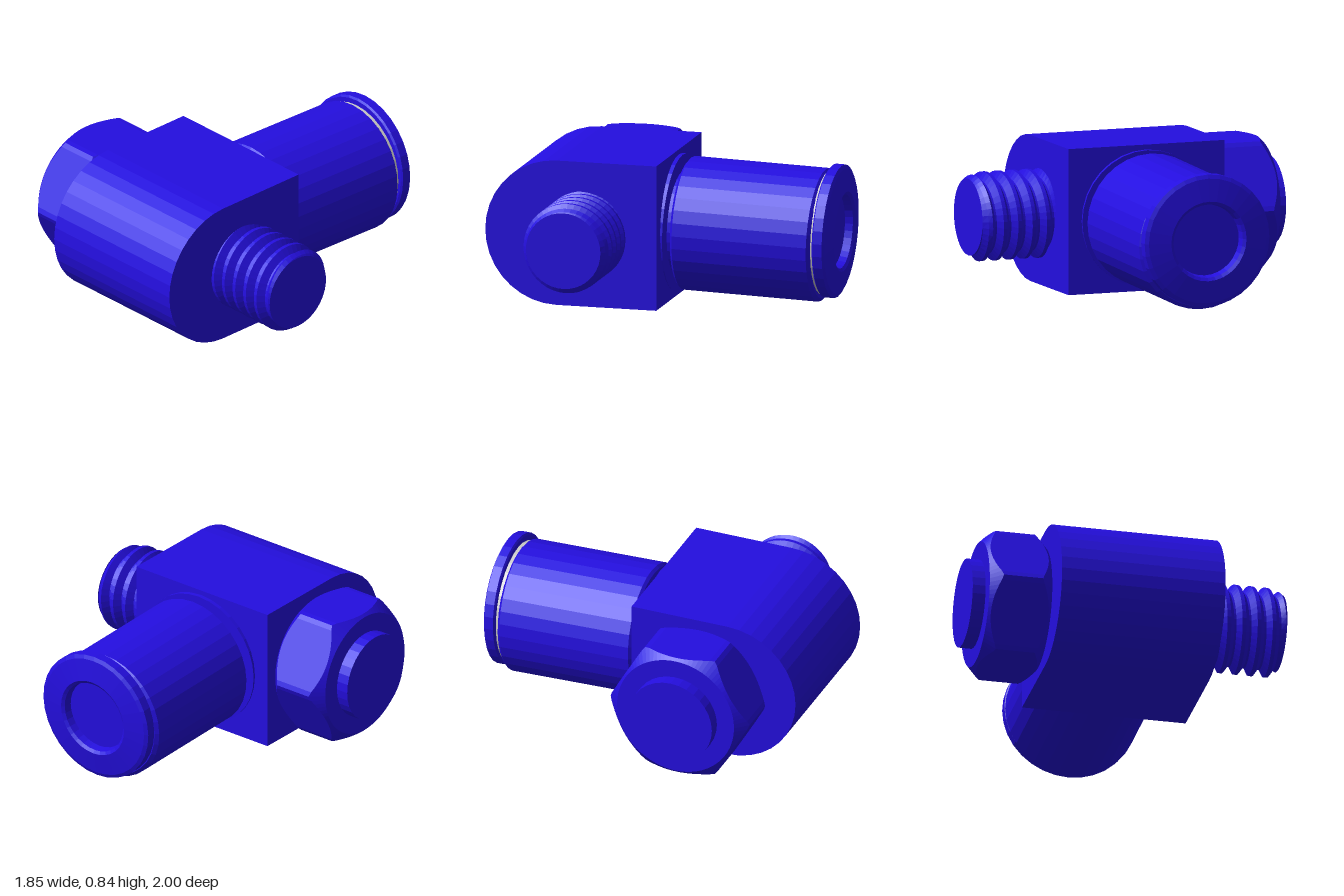
import * as THREE from 'three';

const blue = new THREE.MeshStandardMaterial({ color: 0x240ee0, flatShading: true });
const grey = new THREE.MeshStandardMaterial({ color: 0xcccccc, flatShading: true });

// Turned part around local y; profile is [radius, height] pairs
function turned(name, profile, segments = 32, material = blue) {
  const points = profile.map(([r, h]) => new THREE.Vector2(r, h));
  const mesh = new THREE.Mesh(new THREE.LatheGeometry(points, segments), material);
  mesh.name = name;
  return mesh;
}

// Move every vertex of a turned part by a rule: (radius, height, angle, ring) -> [radius, height]
function reshape(mesh, ringCount, rule) {
  const geometry = mesh.geometry, p = geometry.attributes.position;
  const segments = p.count / ringCount - 1;
  for (let i = 0; i < p.count; i++) {
    const angle = Math.floor(i / ringCount) / segments * Math.PI * 2;
    const [r, h] = rule(Math.hypot(p.getX(i), p.getZ(i)), p.getY(i), angle, i % ringCount);
    p.setXYZ(i, r * Math.sin(angle), h, r * Math.cos(angle));
  }
  geometry.computeVertexNormals();
  return mesh;
}

// Block with a rounded front, extruded along x
function bodyBlock() {
  const shape = new THREE.Shape();
  shape.moveTo(0.01, 0);
  shape.lineTo(0.01, 0.84);
  shape.lineTo(-0.58, 0.84);
  shape.absarc(-0.58, 0.42, 0.42, Math.PI / 2, Math.PI * 1.5, false);
  shape.closePath();
  const geometry = new THREE.ExtrudeGeometry(shape, { depth: 0.955, bevelEnabled: false, curveSegments: 9 });
  geometry.rotateY(Math.PI / 2);
  geometry.translate(-0.48, 0, 0);
  const mesh = new THREE.Mesh(geometry, blue);
  mesh.name = 'body';
  return mesh;
}

// Hexagon nut whose corners are cut back by a cone at both ends
function hexNut(start, end) {
  const face = 0.36;
  const profile = [[0, start], [face, start], [0.4, start + 0.05], [0.4, end - 0.05], [face, end], [0, end]];
  return reshape(turned('hexNut', profile, 96), profile.length, (r, h, angle, ring) => {
    if (ring !== 2 && ring !== 3) return [r, h];
    const sector = angle % (Math.PI / 3) - Math.PI / 6;
    const radius = Math.min(0.375 / Math.cos(sector), 0.428);
    const cut = radius - face;
    return [radius, ring === 2 ? start + cut : end - cut];
  });
}

// Single-start helical thread with a chamfered tip
function thread(start, end) {
  const pitch = 0.088, crest = 0.255, root = 0.214, profile = [];
  for (let i = 0; i < 7; i++) {
    const x = 0.396 + i * pitch;
    profile.push([crest, x - 0.011], [crest, x + 0.011], [root, x + 0.038], [root, x + 0.05]);
  }
  return reshape(turned('thread', profile, 40), profile.length, (r, h, angle) => {
    const x = THREE.MathUtils.clamp(h + pitch * angle / (Math.PI * 2), start, end);
    return [Math.min(r, 0.22 + (end - x) * 0.75), x];
  });
}

export function createModel() {
  const model = new THREE.Group();
  model.add(bodyBlock());

  // Cross bolt along x
  const bolt = new THREE.Group();
  bolt.name = 'bolt';
  bolt.position.set(0, 0.415, 0.415);
  bolt.rotation.z = -Math.PI / 2;
  bolt.add(
    turned('boltEnd', [[0, -0.925], [0.255, -0.925], [0.255, -0.47]]),
    hexNut(-0.85, -0.485),
    thread(0.47, 0.92),
    turned('threadTip', [[0.22, 0.92], [0, 0.92]], 40),
  );
  model.add(bolt);

  // Tube fitting at the back, drooping slightly
  const fitting = new THREE.Group();
  fitting.name = 'tubeFitting';
  fitting.position.set(0.003, 0.42, 0);
  fitting.rotation.x = -Math.PI / 2 - 0.03;
  const ring = turned('releaseRing', [[0.355, 0.87], [0.355, 0.915]], 32, grey);
  ring.position.z = 0.015;
  const cap = turned('endCap', [
    [0, 0.9], [0.37, 0.9], [0.382, 0.908], [0.382, 0.962], [0.36, 0.973], [0.23, 0.992],
    [0.212, 0.98], [0.205, 0.935], [0, 0.935],
  ]);
  cap.position.set(0.004, 0, 0.03);
  fitting.add(
    turned('flange', [[0.392, -0.02], [0.392, 0.022], [0, 0.022]]),
    turned('neck', [[0.295, 0], [0.295, 0.08]]),
    turned('sleeve', [[0, 0.06], [0.365, 0.06], [0.382, 0.075], [0.382, 0.868], [0.362, 0.886], [0, 0.886]]),
    ring, cap,
  );
  model.add(fitting);
  return model;
}
